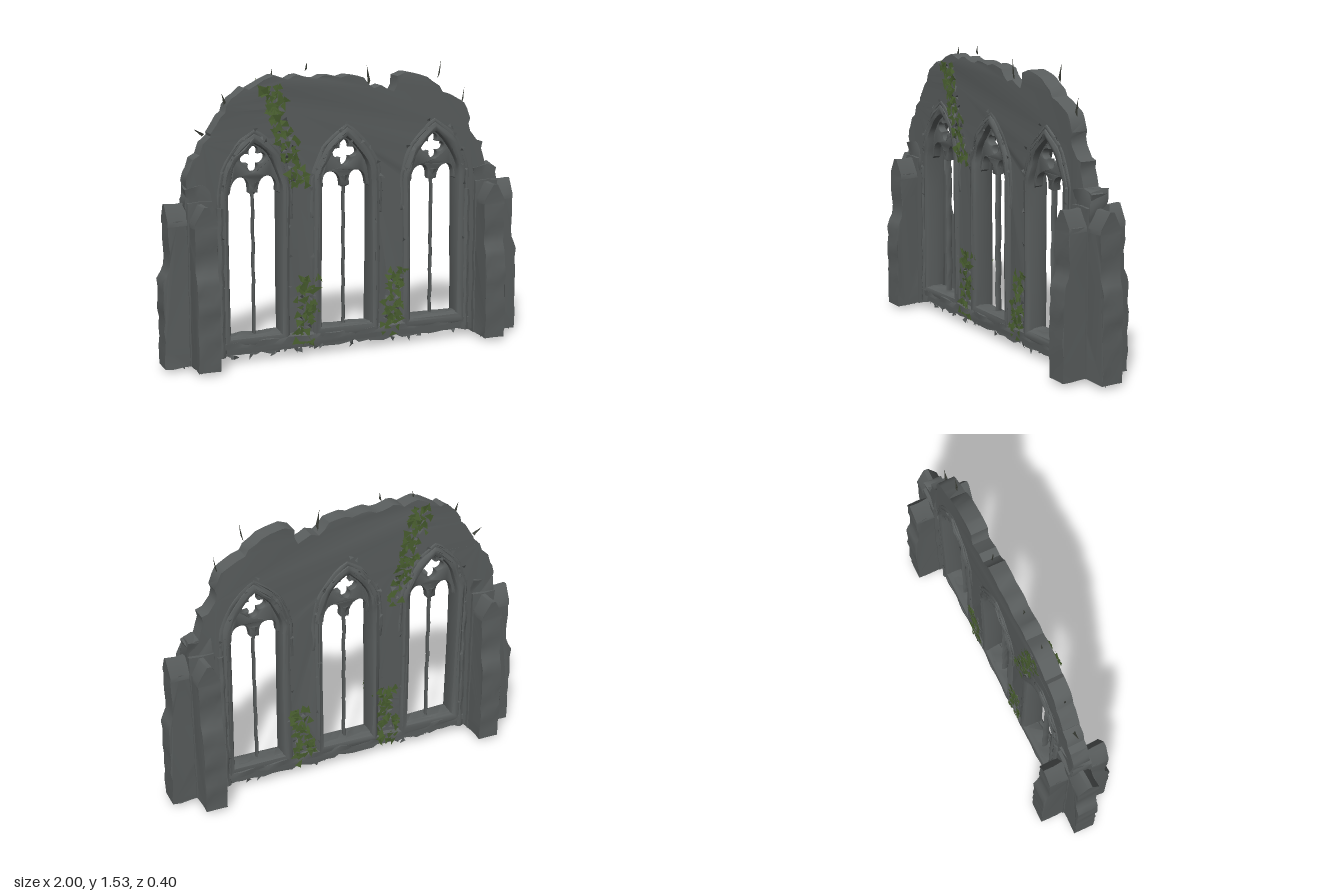
import * as THREE from 'three';
import { mergeVertices, toCreasedNormals } from 'three/addons/utils/BufferGeometryUtils.js';

const V2 = (x, y) => new THREE.Vector2(x, y);

export function createModel() {
  const model = new THREE.Group();
  model.name = 'ruinedWindowWall';
  const material = (name, color) => new THREE.MeshStandardMaterial({ name, color, side: THREE.DoubleSide });
  const stone = material('stone', 0x5a5e5e);
  const ivyGreen = material('ivyGreen', 0x4b6131);
  const twigDark = material('twigDark', 0x3c3f38);

  let seed = 7;
  const rnd = () => (seed = (seed * 16807) % 2147483647) / 2147483647;
  const spread = (a) => (rnd() * 2 - 1) * a;

  function add(name, geo, mat = stone, parent = model) {
    const mesh = new THREE.Mesh(geo, mat);
    mesh.name = name;
    parent.add(mesh);
    return mesh;
  }

  // Worn stone: gentle position-based displacement, then creased normals
  function weather(geo, amount, crease = 0.7) {
    geo.deleteAttribute('uv');
    geo.deleteAttribute('normal');
    const g = mergeVertices(geo, 1e-4);
    const p = g.attributes.position;
    for (let i = 0; i < p.count; i++) {
      const x = p.getX(i), y = p.getY(i), z = p.getZ(i);
      p.setXYZ(i,
        x + amount * Math.sin(37 * y + 19 * z + 5 * x),
        y + amount * Math.sin(41 * x + 23 * z),
        z + amount * Math.sin(29 * y + 33 * x));
    }
    return toCreasedNormals(g, crease);
  }

  // Subdivide a closed outline and roughen it
  function ragged(points, step, jitter) {
    const out = [];
    points.forEach(([x, y], i) => {
      const [u, v] = points[(i + 1) % points.length];
      const n = Math.max(1, Math.round(Math.hypot(u - x, v - y) / step));
      for (let k = 0; k < n; k++)
        out.push(V2(x + (u - x) * k / n + spread(jitter), y + (v - y) * k / n + spread(jitter)));
    });
    return out;
  }

  function extrude(shape, depth, bevel = 0, steps = 1) {
    const g = new THREE.ExtrudeGeometry(shape, {
      depth, steps, bevelEnabled: bevel > 0, bevelSize: bevel, bevelThickness: bevel, bevelOffset: -bevel, bevelSegments: 2
    });
    return g.translate(0, 0, -depth / 2);
  }

  // Pointed arch outline, grown outwards by e from the opening
  const SPRING = 0.9, OFFSET = 0.165, RADIUS = 0.3;
  function arch(cx, e, base) {
    const r = RADIUS + e, top = Math.acos(OFFSET / r), right = [];
    for (let i = 0; i <= 3; i++) right.push(V2(r - OFFSET, base + (SPRING - base) * i / 4));
    for (let i = 0; i <= 9; i++) {
      const a = top * i / 9;
      right.push(V2(r * Math.cos(a) - OFFSET, SPRING + r * Math.sin(a)));
    }
    const left = right.slice(0, -1).reverse().map((p) => V2(-p.x, p.y));
    return [...right, ...left].map((p) => V2(p.x + cx, p.y));
  }
  const windows = [-0.505, -0.005, 0.503];

  // Ivy runs: bottom and top of each, half width and leaves per face
  const runs = [
    { a: [-0.265, 0.93], b: [-0.43, 1.46], w: 0.055, n: 85 },
    { a: [-0.25, 0.08], b: [-0.22, 0.43], w: 0.06, n: 60 },
    { a: [0.24, 0.08], b: [0.285, 0.43], w: 0.06, n: 60 }
  ];
  const along = (r, t) => [r.a[0] + (r.b[0] - r.a[0]) * t, r.a[1] + (r.b[1] - r.a[1]) * t];

  // Wall with broken crown, window openings and small breaches
  const wallShape = new THREE.Shape(ragged([
    [-0.76, 0.06], [0.76, 0.06], [0.76, 0.8], [0.86, 0.8], [0.88, 0.93], [0.81, 0.97], [0.78, 1.08],
    [0.72, 1.14], [0.7, 1.23], [0.64, 1.32], [0.55, 1.37], [0.45, 1.45], [0.36, 1.48], [0.28, 1.45],
    [0.26, 1.39], [0.15, 1.41], [0.09, 1.46], [0, 1.48], [-0.2, 1.47], [-0.3, 1.48], [-0.44, 1.48], [-0.52, 1.44],
    [-0.59, 1.41], [-0.67, 1.32], [-0.74, 1.19], [-0.82, 1.09], [-0.87, 0.98], [-0.86, 0.8], [-0.76, 0.8]
  ], 0.04, 0.013));
  windows.forEach((cx) => wallShape.holes.push(new THREE.Path(arch(cx, 0.02, 0.13))));
  for (const r of runs) {
    const rows = Math.round((r.b[1] - r.a[1]) / 0.055);
    for (let i = 0; i < rows; i++) for (const s of [-0.028, 0.028]) {
      const [x, y] = along(r, (i + 0.7) / (rows + 0.6)), turn = rnd() * 6.28;
      if (y < 0.12) continue;
      wallShape.holes.push(new THREE.Path([0, 1, 2].map((k) => {
        const a = turn + k * 2.09 + spread(0.4), q = 0.017 + rnd() * 0.008;
        return V2(x + s + q * Math.cos(a), y + q * Math.sin(a));
      })));
    }
  }
  add('wall', weather(extrude(wallShape, 0.09), 0.001));

  // Window frames, tracery and mullions
  windows.forEach((cx) => {
    const win = new THREE.Group();
    win.name = 'window';
    model.add(win);

    const ring = new THREE.Shape(arch(cx, 0.052, 0.1));
    ring.holes.push(new THREE.Path(arch(cx, 0.004, 0.155)));
    add('archFrame', weather(extrude(ring, 0.085, 0.018, 2), 0.004), stone, win);

    // thin raised hood over the arch, open at the bottom
    const hood = new THREE.Shape([...arch(cx, 0.068, 0.75), ...arch(cx, 0.04, 0.75).reverse()]);
    add('hoodMould', weather(extrude(hood, 0.085, 0.008), 0.003), stone, win);

    // tracery plate: two lancet heads below a four-lobed light
    const head = arch(0, 0.012, 0.885);
    const lancet = (s) => {
      const pts = [];
      for (let i = 0; i <= 10; i++) {
        const a = Math.PI * i / 10;
        pts.push(V2(s * 0.073 - 0.05 * Math.cos(a), 0.9 + 0.08 * Math.pow(Math.abs(Math.sin(a)), 0.7)));
      }
      return pts;
    };
    const plate = new THREE.Shape([...head, ...lancet(-1), ...lancet(1)].map((p) => V2(p.x + cx, p.y)));
    const foil = [];
    for (let i = 0; i < 40; i++) {
      const a = Math.PI * 2 * i / 40, q = 0.034 + 0.033 * Math.abs(Math.cos(2 * a));
      foil.push(V2(cx + q * Math.cos(a), 1.075 + q * Math.sin(a)));
    }
    plate.holes.push(new THREE.Path(foil));
    add('tracery', weather(extrude(plate, 0.035, 0.005), 0.003), stone, win);

    const mullion = new THREE.CylinderGeometry(0.007, 0.007, 0.8, 6, 16).scale(1, 1, 2.6).translate(cx, 0.54, 0);
    add('mullion', weather(mullion, 0.002), stone, win);
    const cap = new THREE.CylinderGeometry(0.032, 0.016, 0.06, 8, 2).translate(cx, 0.925, 0);
    add('mullionCap', weather(cap, 0.003), stone, win);
  });

  // Sill along the foot of the windows
  const sill = extrude(new THREE.Shape([V2(-0.06, 0.1), V2(0.06, 0.1), V2(0.06, 0.13), V2(0.03, 0.16), V2(-0.03, 0.16), V2(-0.06, 0.13)]), 1.42, 0, 30);
  add('sill', weather(sill.rotateY(Math.PI / 2), 0.004));

  // End piers: three stepped, gabled arms around a core
  for (const s of [-1, 1]) {
    const pier = new THREE.Group();
    pier.name = s < 0 ? 'rightPier' : 'leftPier';
    pier.position.x = s * 0.803;
    model.add(pier);
    const core = new THREE.BoxGeometry(0.13, 0.84, 0.13, 2, 8, 2).translate(0, 0.46, 0);
    add('pierCore', weather(core, 0.003), stone, pier);
    for (const turn of [Math.PI / 2, -Math.PI / 2, s > 0 ? 0 : Math.PI]) {
      const arm = new THREE.Group();
      arm.name = 'buttress';
      arm.rotation.y = turn;
      pier.add(arm);
      const body = new THREE.Shape(ragged([
        [0, 0.035], [0.193, 0.035], [0.193, 0.48], [0.163, 0.55], [0.163, 0.79], [0, 0.79]], 0.05, 0.004));
      add('buttressBody', weather(extrude(body, 0.115, 0, 3), 0.002), stone, arm);
      const gable = new THREE.Shape([V2(-0.06, 0.765), V2(0.06, 0.765), V2(0.058, 0.79), V2(0.012, 0.87), V2(-0.012, 0.87), V2(-0.058, 0.79)]);
      const roof = extrude(gable, 0.167, 0, 3).translate(0, 0, 0.0835).rotateY(Math.PI / 2);
      add('buttressGable', weather(roof, 0.003), stone, arm);
    }
    // rounded shoulder where the wall dies into the pier
    const shoulder = new THREE.BoxGeometry(0.13, 0.17, 0.1, 3, 3, 3).translate(0, 0.87, 0);
    add('pierShoulder', weather(shoulder, 0.009), stone, pier);
    for (const z of [-0.04, 0.04]) {
      const shaft = new THREE.CylinderGeometry(0.022, 0.024, 0.78, 8, 12).translate(s * 0.693, 0.45, z);
      add('cornerShaft', weather(shaft, 0.003));
    }
  }

  // Loose triangles gathered into one geometry
  function shards(list) {
    const g = new THREE.BufferGeometry();
    g.setAttribute('position', new THREE.Float32BufferAttribute(list, 3));
    g.computeVertexNormals();
    return g;
  }
  function shard(list, x, y, z, size, tilt) {
    const turn = rnd() * 6.28;
    for (let k = 0; k < 3; k++) {
      const a = turn + k * 2.09 + spread(0.5), q = size * (0.6 + rnd() * 0.6);
      list.push(x + q * Math.cos(a), y + q * Math.sin(a), z + spread(tilt));
    }
  }

  // Ivy leaves on both faces
  runs.forEach((r) => {
    const leaves = [];
    for (const side of [-1, 1]) for (let i = 0; i < r.n; i++) {
      const [x, y] = along(r, rnd());
      shard(leaves, x + spread(r.w), y + spread(0.015), side * (0.054 + rnd() * 0.01), 0.027, 0.006);
    }
    add('ivy', shards(leaves), ivyGreen);
  });

  // Chipped stone flakes around the arches and at the foot
  const chips = [];
  for (const cx of windows) for (const side of [-1, 1])
    for (const p of arch(cx, 0.045, 0.2)) shard(chips, p.x + spread(0.02), p.y + spread(0.05), side * 0.058, 0.014, 0.008);
  for (let i = 0; i < 50; i++) shard(chips, spread(0.72), 0.06 + spread(0.012), spread(0.045), 0.022, 0.01);
  for (const s of [-1, 1]) for (let i = 0; i < 14; i++) {
    shard(chips, s * 0.803 + spread(0.045), 0.037, spread(0.18), 0.018, 0.008);
    shard(chips, s * (0.9 + spread(0.08)), 0.037, spread(0.05), 0.018, 0.008);
  }
  add('stoneChips', shards(chips));

  // Dry twigs on the crown: x, y, height, lean
  const twigs = [];
  [[-0.21, 1.5, 0.05, 0.005], [-0.4, 1.47, 0.06, 0.01], [0.14, 1.4, 0.12, -0.012], [0.54, 1.43, 0.1, 0.015],
    [0.68, 1.28, 0.1, 0.015], [-0.64, 1.33, 0.08, -0.02], [-0.76, 1.2, 0.04, -0.05]].forEach(([x, y, h, lean]) => {
    twigs.push(x - 0.006, y, 0, x + 0.007, y + h * 0.3, 0.004, x + lean, y + h, 0);
    twigs.push(x, y, -0.006, x, y + h * 0.3, 0.007, x + lean, y + h, 0);
  });
  add('twigs', shards(twigs), twigDark);

  return model;
}
